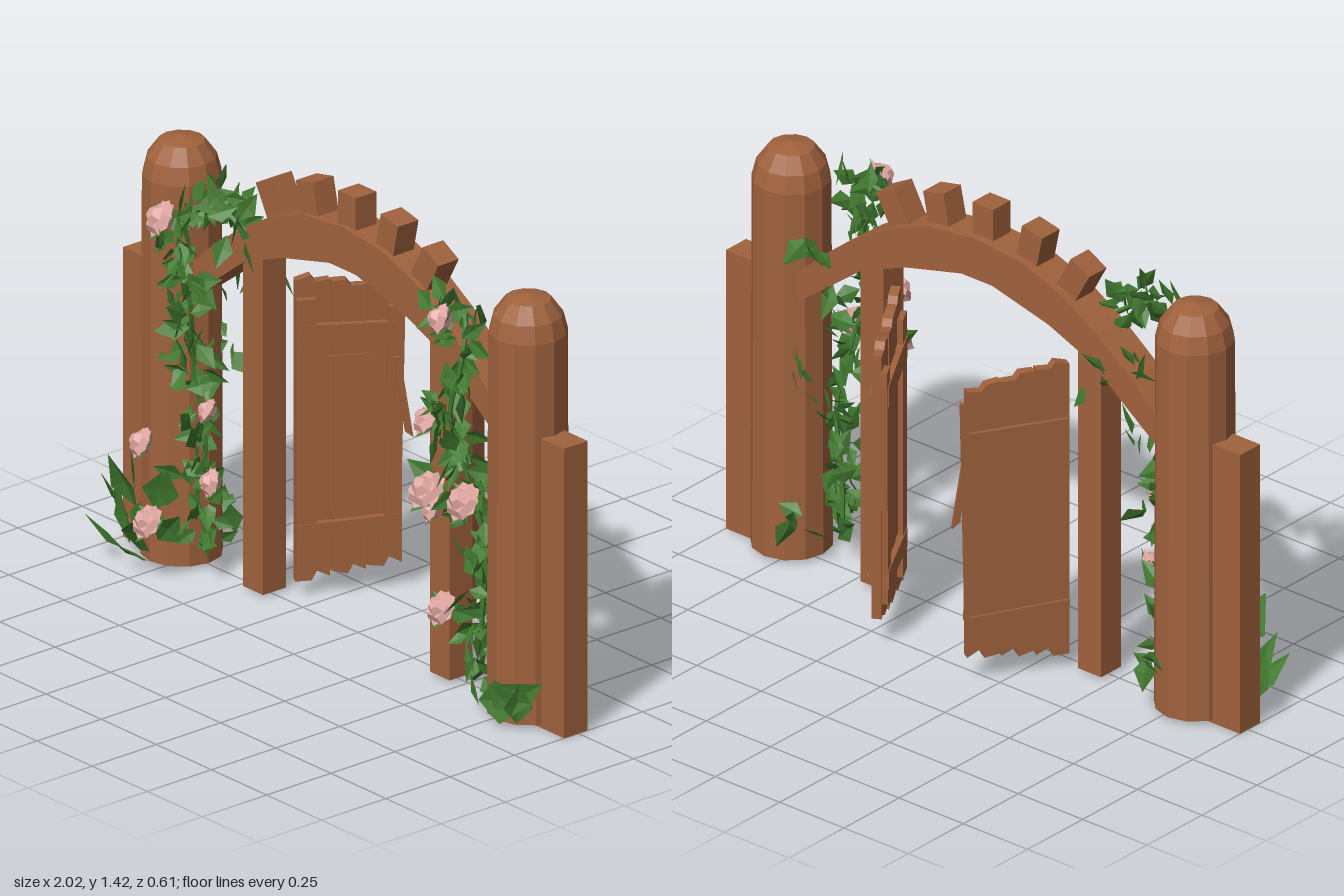
import * as THREE from 'three';
import { mergeGeometries } from 'three/addons/utils/BufferGeometryUtils.js';

const mat = (name, color, side = THREE.FrontSide) =>
  new THREE.MeshStandardMaterial({ name, color, side, flatShading: true });

let seed = 11;
const rnd = (a = 0, b = 1) => {
  seed = (seed * 16807) % 2147483647;
  return a + (b - a) * (seed / 2147483647);
};
const V = (p) => new THREE.Vector3(...p);

// Folded, pointed leaf growing along +y from its base
function leafGeometry() {
  const g = new THREE.BufferGeometry();
  g.setAttribute('position', new THREE.Float32BufferAttribute([
    0, 0, 0, -0.32, 0.4, 0.08, 0, 0.45, 0, 0.32, 0.4, 0.08, 0, 1, 0.06], 3));
  g.setIndex([0, 2, 1, 0, 3, 2, 1, 2, 4, 2, 3, 4]);
  const flat = g.toNonIndexed();
  flat.computeVertexNormals();
  return flat;
}

export function createModel() {
  const model = new THREE.Group();
  model.name = 'gardenGate';
  const wood = mat('wood', 0xa0623d);
  const green = mat('leafGreen', 0x427a30, THREE.DoubleSide);
  const pink = mat('rosePink', 0xe0a6a1);

  const add = (parent, name, geo, material, pos = [0, 0, 0], rot = [0, 0, 0]) => {
    const m = new THREE.Mesh(geo, material);
    m.name = name;
    m.position.set(...pos);
    m.rotation.set(...rot);
    parent.add(m);
    return m;
  };
  const box = (parent, name, size, pos, rot) =>
    add(parent, name, new THREE.BoxGeometry(...size), wood, pos, rot);
  const slab = (parent, name, pts, depth, z) => {
    const shape = new THREE.Shape(pts.map(([a, b]) => new THREE.Vector2(a, b)));
    return add(parent, name, new THREE.ExtrudeGeometry(shape, { depth, bevelEnabled: false }), wood, [0, 0, z]);
  };

  // Round posts, side boards and door jambs
  const profile = [[0, 0.01], [0.124, 0.012], [0.122, 0.6], [0.12, 1.23], [0.106, 1.285], [0.07, 1.335], [0, 1.35]]
    .map(([r, y]) => new THREE.Vector2(r, y));
  for (const s of [-1, 1]) {
    add(model, 'roundPost', new THREE.LatheGeometry(profile, 12), wood, [s * 0.785, 0, 0.012]);
    box(model, 'sideBoard', [0.14, 0.93, 0.092], [s * 0.93, 0.465, 0.01]);
    box(model, 'doorJamb', [0.09, 1.12, 0.09], [s * 0.423, 0.57, 0]);
  }

  // Arch beam with blocks on top
  const outer = [[0, 1.32], [0.18, 1.3], [0.33, 1.245], [0.47, 1.16], [0.6, 1.06], [0.72, 0.95]];
  const inner = [[0.7, 0.87], [0.58, 0.96], [0.45, 1.06], [0.28, 1.13], [0.06, 1.185]];
  const half = [...outer, ...inner];
  const mirrored = half.slice(1).reverse().map(([x, y]) => [-x, y]);
  slab(model, 'archBeam', [...half, ...mirrored], 0.124, -0.064);
  for (const [x, y, a] of [[0, 1.36, 0], [0.18, 1.34, 0.21], [0.35, 1.29, 0.5]])
    for (const s of x ? [-1, 1] : [1])
      box(model, 'archBlock', [0.08, 0.12, 0.08], [s * x, y, 0.003], [0, 0, -s * a]);

  // Worn doors standing open towards the back
  for (const s of [-1, 1]) {
    const door = new THREE.Group();
    door.name = s < 0 ? 'rightDoor' : 'leftDoor';
    door.position.set(s * 0.335, 0, -0.04);
    door.rotation.y = -s * 1.04;
    model.add(door);
    const d = -s; // direction from hinge to free edge
    for (let i = 0; i < 3; i++) {
      const x0 = i * 0.108, x1 = x0 + 0.104;
      const top = 1.03 - i * 0.02, low = 0.05 + i * 0.015;
      const pts = [[x0, low + rnd(0, 0.015)], [x0 + 0.05, low], [x0 + 0.065, low + 0.03], [x1, low + rnd(0.005, 0.02)],
        [x1, top - rnd(0.01, 0.03)], [x0 + 0.06, top - 0.02], [x0 + 0.045, top], [x0, top + rnd(-0.015, 0.015)]];
      slab(door, 'doorPlank', pts.map(([x, y]) => [d * x, y]), 0.03, -0.015 + (i % 2) * 0.003);
    }
    // Front frame
    box(door, 'doorStile', [0.06, 0.86, 0.022], [d * 0.03, 0.53, 0.022]);
    box(door, 'doorStile', [0.05, 0.78, 0.022], [d * 0.295, 0.53, 0.022], [0, 0, 0.02 * s]);
    box(door, 'doorRail', [0.31, 0.07, 0.024], [d * 0.16, 0.84, 0.024], [0, 0, 0.03 * s]);
    box(door, 'doorRail', [0.31, 0.06, 0.024], [d * 0.16, 0.215, 0.024], [0, 0, -0.05 * s]);
    box(door, 'doorPanel', [0.12, 0.5, 0.012], [d * 0.16, 0.52, 0.018]);
    // Back panel with a ledge
    box(door, 'backPanel', [0.31, 0.62, 0.014], [d * 0.16, 0.53, -0.018]);
    box(door, 'backLedge', [0.31, 0.02, 0.02], [d * 0.16, 0.225, -0.022], [0, 0, 0.03 * s]);
    if (s < 0)
      slab(door, 'splinter', [[0.29, 0.76], [0.31, 0.76], [0.35, 0.5], [0.325, 0.52]], 0.012, 0.034);
  }

  // Foliage
  const leaf = leafGeometry();
  const placedLeaf = (p, size, rot) => leaf.clone().applyMatrix4(new THREE.Matrix4().compose(
    V(p), new THREE.Quaternion().setFromEuler(new THREE.Euler(...rot)), new THREE.Vector3(size, size, size)));
  const cluster = (c, count, spread) => Array.from({ length: count }, () => placedLeaf(
    c.map((v, i) => v + rnd(-1, 1) * spread[i]), rnd(0.065, 0.115),
    [rnd(-1.1, 0.6), rnd(-1.3, 1.1), rnd(-3.1, 3.1)]));

  const vines = {
    rightVine: {
      path: [[-0.43, 1.17, 0.07], [-0.54, 1.23, 0.1], [-0.65, 1.1, 0.14], [-0.61, 0.9, 0.13],
        [-0.65, 0.68, 0.08], [-0.62, 0.4, 0.06], [-0.65, 0.25, 0.07], [-0.61, 0.1, 0.05]],
      extra: [[-0.52, 1.29, 0.08], [-0.48, 1.03, -0.09], [-0.64, 1.12, -0.1],
        [-0.66, 0.88, -0.09], [-0.67, 0.2, -0.1], [-0.66, 0.68, -0.08]],
    },
    leftVine: {
      path: [[0.47, 1.23, 0.1], [0.6, 1.25, 0.1], [0.63, 1.1, 0.14], [0.58, 0.92, 0.14],
        [0.62, 0.72, 0.1], [0.65, 0.5, 0.06], [0.62, 0.25, 0.05], [0.61, 0.1, 0.04]],
      extra: [[0.6, 0.96, 0.16], [0.55, 0.68, 0.15], [0.69, 0.64, -0.09], [0.69, 0.17, -0.1],
        [0.62, 1.1, -0.09], [0.55, 0.95, -0.08]],
    },
  };
  for (const [name, { path, extra }] of Object.entries(vines)) {
    const vine = new THREE.Group();
    vine.name = name;
    model.add(vine);
    const curve = new THREE.CatmullRomCurve3(path.map(V));
    add(vine, 'stem', new THREE.TubeGeometry(curve, 28, 0.008, 4), green);
    const leaves = [];
    for (let i = 0; i < 46; i++)
      leaves.push(...cluster(curve.getPointAt(i / 45).toArray(), 3, [0.032, 0.02, 0.055]));
    for (const c of extra) leaves.push(...cluster(c, 4, [0.035, 0.04, 0.015]));
    add(vine, 'leaves', mergeGeometries(leaves), green);
  }

  // Broad leaves at the foot of the posts: base, size, [tilt, yaw, lean]
  const broad = [
    [[-0.95, 0.04, 0.08], 0.19, [0.2, -0.5, 0.1]], [[-0.92, 0.1, 0.1], 0.17, [0.5, -0.4, 0.3]],
    [[-0.86, 0.05, 0.15], 0.19, [0.1, -0.3, 0.1]], [[-0.84, 0.17, 0.14], 0.19, [0.3, 0, 0.3]],
    [[-0.8, 0.05, 0.16], 0.18, [0.5, 0, -0.4]], [[-0.76, 0.19, 0.14], 0.16, [0.2, 0.3, -0.4]],
    [[-0.73, 0.1, 0.15], 0.16, [0.4, 0.4, -0.8]], [[-0.88, 0.03, 0.16], 0.16, [0.8, -0.4, 0.5]],
    [[-0.7, 0.22, 0.14], 0.13, [0.2, 0.4, -0.2]], [[-0.93, 0.18, 0.07], 0.14, [0, -0.6, 0.4]],
    [[-0.78, 0.02, 0.15], 0.13, [0.9, 0, 0.1]], [[-0.9, 0.05, 0.1], 0.14, [-0.1, -0.3, -0.4]],
    [[0.72, 0.06, 0.15], 0.21, [-0.1, 0.2, -1.35]], [[0.78, 0.04, 0.145], 0.2, [0, 0.5, -0.95]],
    [[0.86, 0.06, 0.13], 0.12, [0, 0.8, 0.7]], [[0.86, 0.02, 0.12], 0.14, [0.2, 1, -0.2]],
    [[0.7, 0.03, 0.13], 0.1, [0.1, -0.4, 0.4]],
  ].map(([p, size, rot]) => placedLeaf(p, size, rot));
  add(model, 'broadLeaves', mergeGeometries(broad), green);

  // Roses: twisted layers of petals narrowing to the heart, with sepals behind
  const roses = [
    [-0.67, 1.165, 0.2, 0.06], [-0.54, 0.57, 0.13, 0.04], [-0.77, 0.41, 0.19, 0.05], [-0.525, 0.345, 0.13, 0.046],
    [-0.68, 0.2, 0.245, 0.055], [0.575, 1.24, 0.18, 0.052], [0.5, 0.89, 0.17, 0.052], [0.545, 0.69, 0.21, 0.064],
    [0.7, 0.7, 0.2, 0.062], [0.51, 0.6, 0.16, 0.04], [0.555, 0.3, 0.16, 0.055],
  ];
  // Each layer: top radius, bottom radius, bottom height, height, twist
  const layers = [[1.05, 0.45, -0.5, 0.55, 0], [0.72, 1.0, 0.05, 0.35, 0.6], [0.3, 0.62, 0.4, 0.35, 0.1]];
  for (const [x, y, z, r] of roses) {
    const rose = new THREE.Group();
    rose.name = 'rose';
    rose.position.set(x, y, z - 0.01);
    rose.rotation.set(rnd(0.7, 1.2), 0, rnd(-0.1, 0.6));
    rose.scale.setScalar(r);
    model.add(rose);
    add(rose, 'petals', mergeGeometries(layers.map(([top, low, y0, h, turn]) =>
      new THREE.CylinderGeometry(top, low, h, 5).rotateY(turn).translate(0, y0 + h / 2, 0))), pink);
    add(rose, 'sepals', mergeGeometries([0, 1, 2].map((i) =>
      placedLeaf([0, -0.45, 0], 1.4, [1.1, i * 2.1, 0, 'YXZ']))), green);
  }
  return model;
}
